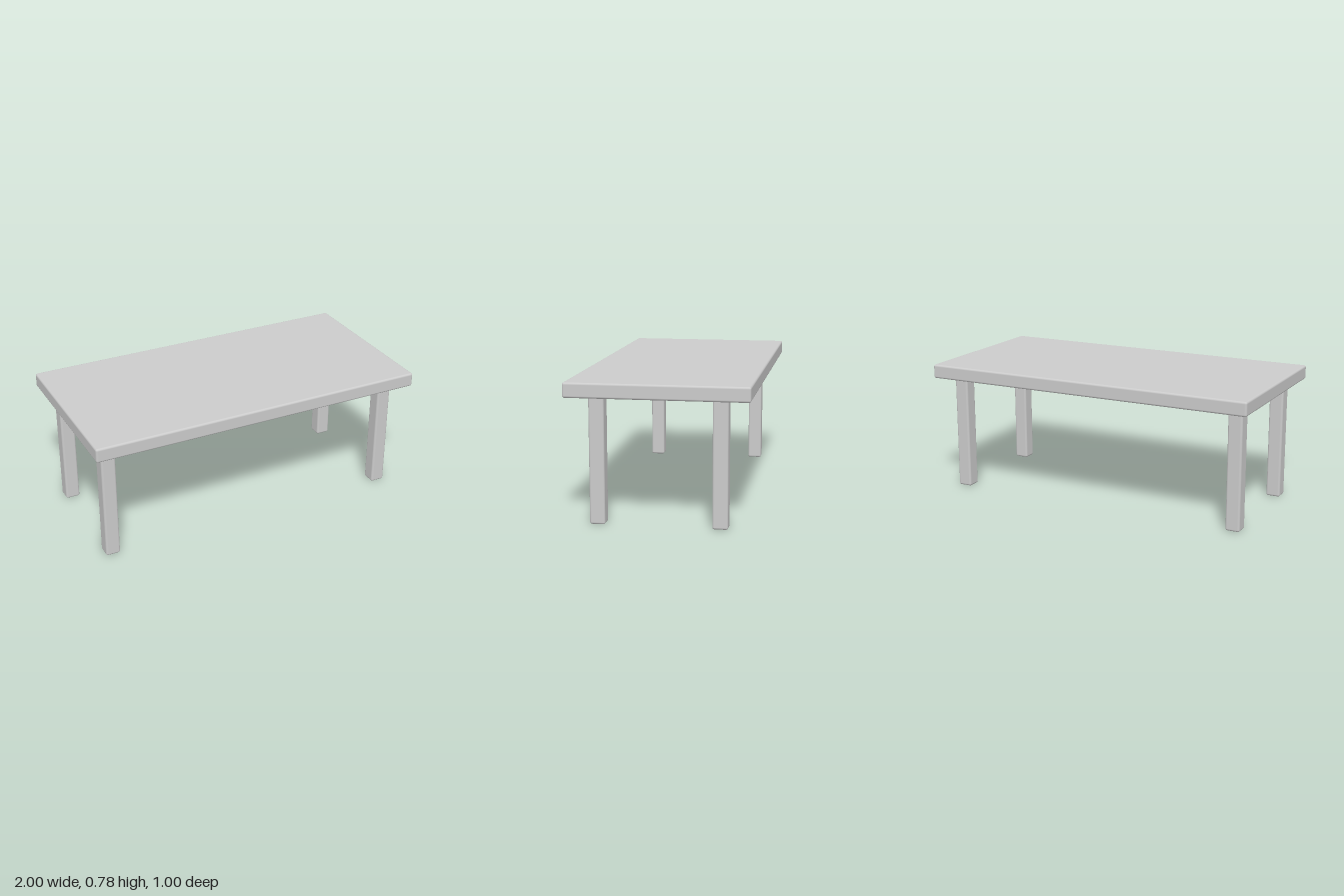
import * as THREE from 'three';
import { RoundedBoxGeometry } from 'three/addons/geometries/RoundedBoxGeometry.js';

const material = new THREE.MeshStandardMaterial({ color: 0xcccccc });

// Softly rounded block, placed by its bottom height
function block(name, width, height, depth, radius, x, bottom, z) {
  const mesh = new THREE.Mesh(new RoundedBoxGeometry(width, height, depth, 4, radius), material);
  mesh.name = name;
  mesh.position.set(x, bottom + height / 2, z);
  return mesh;
}

export function createModel() {
  const table = new THREE.Group();
  table.name = 'table';

  // Tabletop slab
  const legHeight = 0.7;
  table.add(block('tabletop', 2, 0.083, 1, 0.012, 0, legHeight, 0));

  // Four square legs, set slightly into the underside of the top
  for (const [side, x] of [['Left', 0.89], ['Right', -0.89]]) {
    for (const [end, z] of [['front', 0.334], ['back', -0.334]]) {
      table.add(block(`${end}${side}Leg`, 0.085, legHeight + 0.015, 0.085, 0.012, x, 0, z));
    }
  }
  return table;
}
